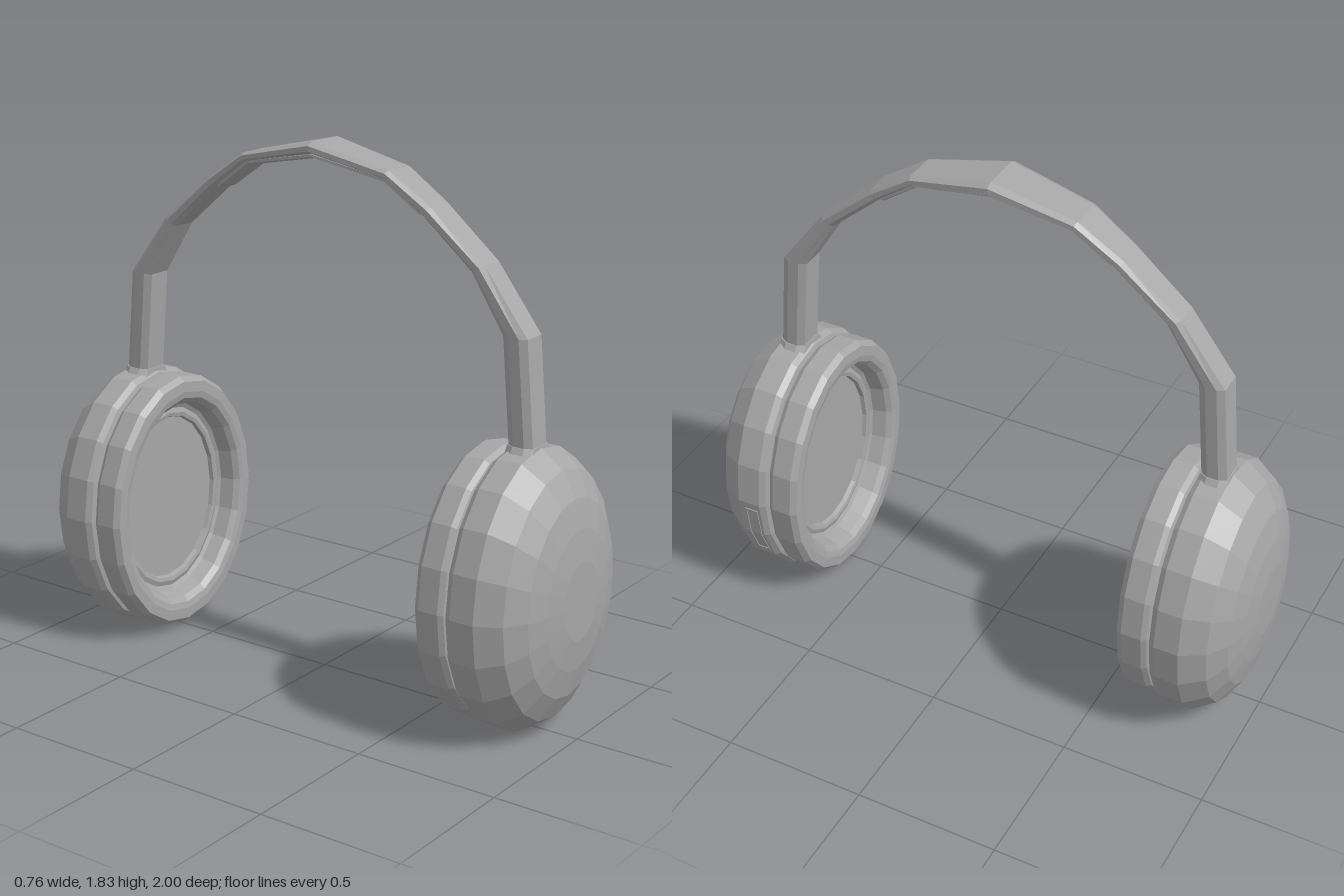
import * as THREE from 'three';

const SIDES = 20, RX = 0.38, RY = 0.472, CY = 0.478;

function flat(geometry) {
  const g = geometry.index ? geometry.toNonIndexed() : geometry;
  g.computeVertexNormals();
  return g;
}

// Elliptical turned part: profile of [radius fraction, z]
function oval(profile) {
  const g = new THREE.LatheGeometry(profile.map(([r, z]) => new THREE.Vector2(r, z)), SIDES);
  g.rotateX(Math.PI / 2);
  g.scale(RX, RY, 1);
  g.translate(0, CY, 0);
  return flat(g);
}

// Chamfered strap through sections of {outer: [z, y], inner: [z, y], w: half width}
function strap(sections) {
  const ring = [[1, 0.72], [1, 0.28], [0.75, 0], [-0.75, 0], [-1, 0.28], [-1, 0.72], [-0.75, 1], [0.75, 1]];
  const n = ring.length, pos = [], idx = [];
  for (const { outer, inner, w } of sections)
    for (const [u, v] of ring)
      pos.push(u * w, outer[1] + (inner[1] - outer[1]) * v, outer[0] + (inner[0] - outer[0]) * v);
  for (let i = 0; i < sections.length - 1; i++)
    for (let j = 0; j < n; j++) {
      const k = (j + 1) % n, a = i * n + j, b = i * n + k, c = a + n, d = b + n;
      idx.push(a, c, b, b, c, d);
    }
  const last = (sections.length - 1) * n;
  for (let j = 1; j < n - 1; j++) idx.push(0, j, j + 1, last, last + j + 1, last + j);
  const g = new THREE.BufferGeometry();
  g.setAttribute('position', new THREE.Float32BufferAttribute(pos, 3));
  g.setIndex(idx);
  return flat(g);
}

// Half a strap (from the front cup to the crown) completed by its mirror image
function mirrored(half) {
  const s = half.map(([oz, oy, iz, iy, w]) => ({ outer: [oz, oy], inner: [iz, iy], w }));
  const back = s.slice(0, -1).reverse().map(({ outer, inner, w }) =>
    ({ outer: [-outer[0], outer[1]], inner: [-inner[0], inner[1]], w }));
  return s.concat(back);
}

export function createModel() {
  const model = new THREE.Group();
  model.name = 'headphones';
  const grey = new THREE.MeshStandardMaterial({ color: 0xa6a6a6, flatShading: true });
  grey.name = 'grey';
  const add = (parent, name, geometry) => {
    const mesh = new THREE.Mesh(geometry, grey);
    mesh.name = name;
    parent.add(mesh);
    return mesh;
  };

  // Domed cup shell
  const shell = oval([[0, 0.725], [0.93, 0.725], [0.97, 0.73], [1, 0.75], [1, 0.835], [0.88, 0.915],
    [0.7, 0.962], [0.5, 0.985], [0.28, 0.998], [0, 1]]);
  // Ear cushion with a hollow middle
  const cushion = oval([[0.7, 0.69], [0.74, 0.68], [0.77, 0.63], [0.81, 0.613], [0.86, 0.608],
    [0.94, 0.61], [0.975, 0.63], [0.975, 0.70], [0.95, 0.717], [0.9, 0.725]]);
  // Speaker plate with a raised rim
  const plate = oval([[0, 0.70], [0.63, 0.70], [0.64, 0.685], [0.67, 0.682], [0.72, 0.69], [0.75, 0.72]]);

  for (const [name, turn] of [['frontCup', 0], ['backCup', Math.PI]]) {
    const cup = new THREE.Group();
    cup.name = name;
    cup.rotation.y = turn;
    add(cup, 'shell', shell);
    add(cup, 'cushion', cushion);
    add(cup, 'speakerPlate', plate);
    // Flared socket where the stem meets the cup
    add(cup, 'socket', strap([
      { outer: [0.835, 0.955], inner: [0.738, 0.955], w: 0.058 },
      { outer: [0.84, 0.90], inner: [0.735, 0.90], w: 0.095 }
    ].reverse().map(({ outer, inner, w }) => ({ outer, inner, w }))));
    model.add(cup);
  }

  // Headband with its two stems
  add(model, 'headband', strap(mirrored([
    [0.835, 0.88, 0.742, 0.88, 0.055],
    [0.83, 0.95, 0.742, 0.95, 0.055],
    [0.80, 1.30, 0.712, 1.30, 0.055],
    [0.64, 1.51, 0.595, 1.485, 0.056],
    [0.445, 1.67, 0.41, 1.645, 0.064],
    [0.29, 1.77, 0.275, 1.742, 0.074],
    [0, 1.835, 0, 1.795, 0.093]
  ])));

  // Thin padding under the crown
  add(model, 'headPad', strap(mirrored([
    [0.41, 1.655, 0.40, 1.637, 0.05],
    [0.277, 1.75, 0.27, 1.73, 0.06],
    [0, 1.80, 0, 1.78, 0.075]
  ])));

  // Narrow slot frame on the side of the front cup, following two facets
  const slot = new THREE.Group();
  slot.name = 'slotFrame';
  const bend = [RX * Math.cos(Math.PI / 10), CY - RY * Math.sin(Math.PI / 10)];
  const path = [[0.377, 0.45], bend, [0.319, 0.23]];
  const bar = (name, [x0, y0], [x1, y1], z, width) => {
    const mesh = add(slot, name, flat(new THREE.BoxGeometry(0.006, Math.hypot(x1 - x0, y1 - y0), width)));
    mesh.position.set((x0 + x1) / 2, (y0 + y1) / 2, z);
    mesh.rotation.z = Math.atan2(x0 - x1, y0 - y1) * -1;
  };
  for (let i = 0; i < 2; i++)
    for (const z of [0.763, 0.807]) bar('slotSide', path[i], path[i + 1], z, 0.006);
  bar('slotTop', path[0], [0.3761, 0.443], 0.785, 0.05);
  bar('slotBottom', [0.322, 0.237], path[2], 0.785, 0.05);
  model.add(slot);

  return model;
}
